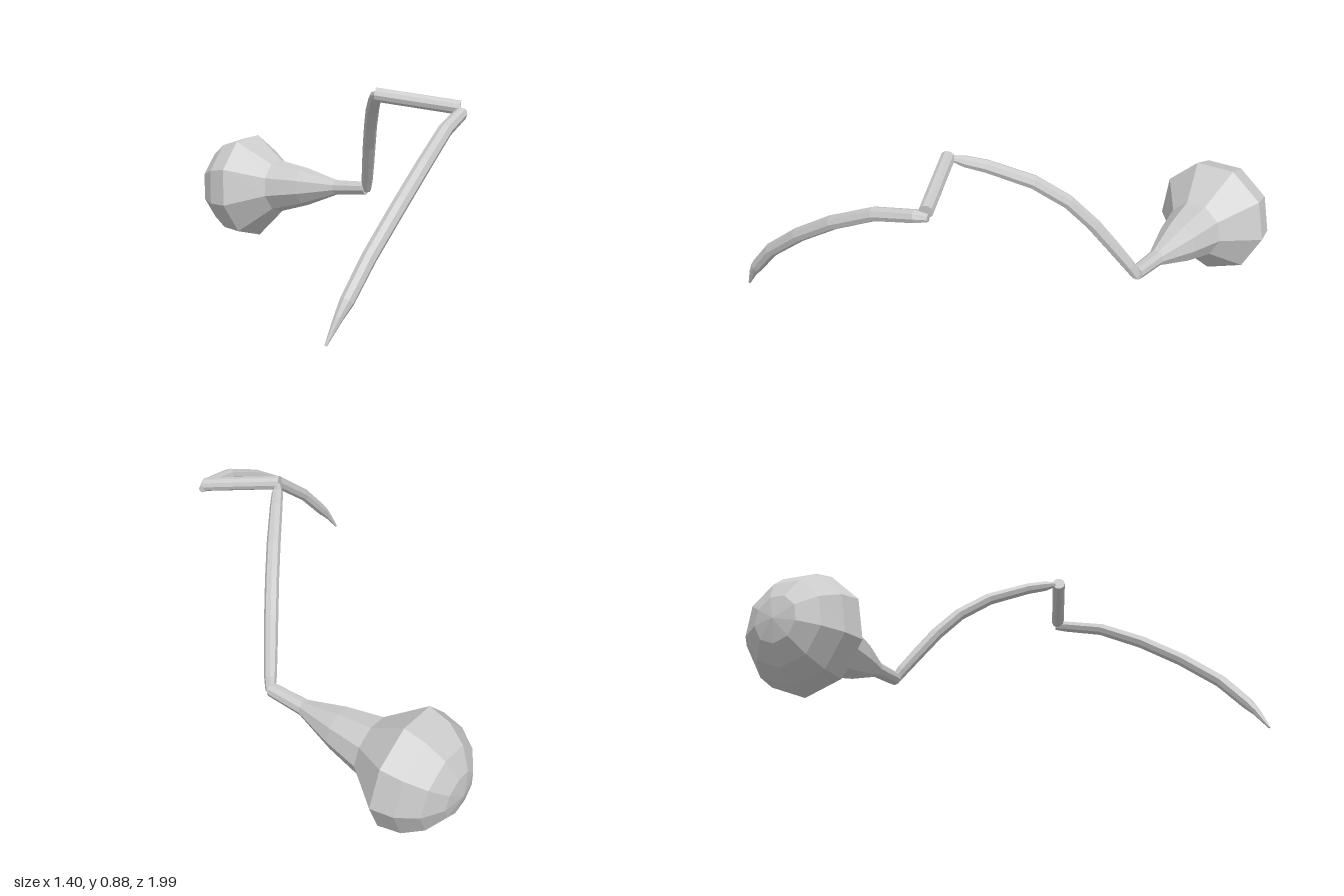
import * as THREE from 'three';

const material = new THREE.MeshStandardMaterial({ color: 0xcccccc, flatShading: true });

// Capped skin around a path: each point is [x, y, z, radius]; ref fixes the roll of the rings.
function loft(name, points, sides, ref, phase = 0) {
  const centres = points.map(p => new THREE.Vector3(p[0], p[1], p[2]));
  const last = centres.length - 1;
  const pos = [], index = [];
  centres.forEach((c, i) => {
    const t = centres[Math.min(i + 1, last)].clone().sub(centres[Math.max(i - 1, 0)]).normalize();
    const v = ref.clone().addScaledVector(t, -ref.dot(t)).normalize();
    const u = t.clone().cross(v);
    for (let j = 0; j < sides; j++) {
      const a = phase + (j / sides) * Math.PI * 2;
      const p = c.clone()
        .addScaledVector(u, Math.cos(a) * points[i][3])
        .addScaledVector(v, Math.sin(a) * points[i][3]);
      pos.push(p.x, p.y, p.z);
    }
  });
  const start = pos.length / 3, end = start + 1;
  for (const c of [centres[0], centres[last]]) pos.push(c.x, c.y, c.z);
  for (let j = 0; j < sides; j++) {
    const k = (j + 1) % sides;
    for (let i = 0; i < last; i++) {
      const a = i * sides, b = a + sides;
      index.push(a + j, b + j, a + k, a + k, b + j, b + k);
    }
    index.push(start, j, k, end, last * sides + k, last * sides + j);
  }
  const geometry = new THREE.BufferGeometry();
  geometry.setAttribute('position', new THREE.Float32BufferAttribute(pos, 3));
  geometry.setIndex(index);
  geometry.computeVertexNormals();
  const mesh = new THREE.Mesh(geometry, material);
  mesh.name = name;
  return mesh;
}

export function createModel() {
  const group = new THREE.Group();
  group.name = 'jointedClub';

  // Club: thin neck flaring into a nine-sided bulb with a domed end
  const neck = new THREE.Vector3(0.588, 0.323, -0.1);
  const bulb = new THREE.Vector3(0.449, 0.258, -0.75);
  const length = neck.distanceTo(bulb), R = 0.256;
  const axis = bulb.clone().sub(neck).normalize();
  const profile = [[0, 0.03], [0.165, 0.035], [0.345, 0.092], [0.505, 0.127], [length, R]];
  for (let i = 1; i <= 4; i++) {
    const a = (i / 4) * Math.PI / 2;
    profile.push([length + Math.sin(a) * 0.25, Math.max(Math.cos(a) * R, 0.001)]);
  }
  const rings = profile.map(([d, r]) => [...neck.clone().addScaledVector(axis, d).toArray(), r]);
  group.add(loft('club', rings, 9, new THREE.Vector3(0, 1, 0), -0.11));

  // Rear arm: arc rising from the neck to the link
  const rearArc = [
    [-0.098, 0.315, 0.02], [-0.075, 0.365, 0.026], [-0.025, 0.455, 0.028], [0.035, 0.56, 0.029],
    [0.11, 0.665, 0.029], [0.21, 0.755, 0.029], [0.345, 0.825, 0.027], [0.405, 0.845, 0.024],
    [0.44, 0.857, 0.012],
  ].map(([z, y, r]) => [0.59 - (z + 0.095) * 0.94, y, z, r]);
  group.add(loft('rearArm', rearArc, 8, new THREE.Vector3(1, 0, 0.94)));

  // Link: short straight rod joining both arms
  group.add(loft('link', [[0.07, 0.86, 0.448, 0.029], [0.272, 0.816, 0.72, 0.029]],
    10, new THREE.Vector3(0, 1, 0)));

  // Front arm: long arc falling to a pointed tip
  group.add(loft('frontArm', [
    [0.288, 0.797, 0.722, 0.016], [0.245, 0.796, 0.747, 0.027], [0.075, 0.755, 0.812, 0.029],
    [-0.115, 0.657, 0.878, 0.03], [-0.3, 0.532, 0.925, 0.03], [-0.48, 0.385, 0.957, 0.029],
    [-0.6, 0.25, 0.968, 0.027], [-0.64, 0.2, 0.968, 0.018], [-0.697, 0.112, 0.965, 0.005],
  ], 8, new THREE.Vector3(0.25, 0, 0.97)));

  return group;
}
